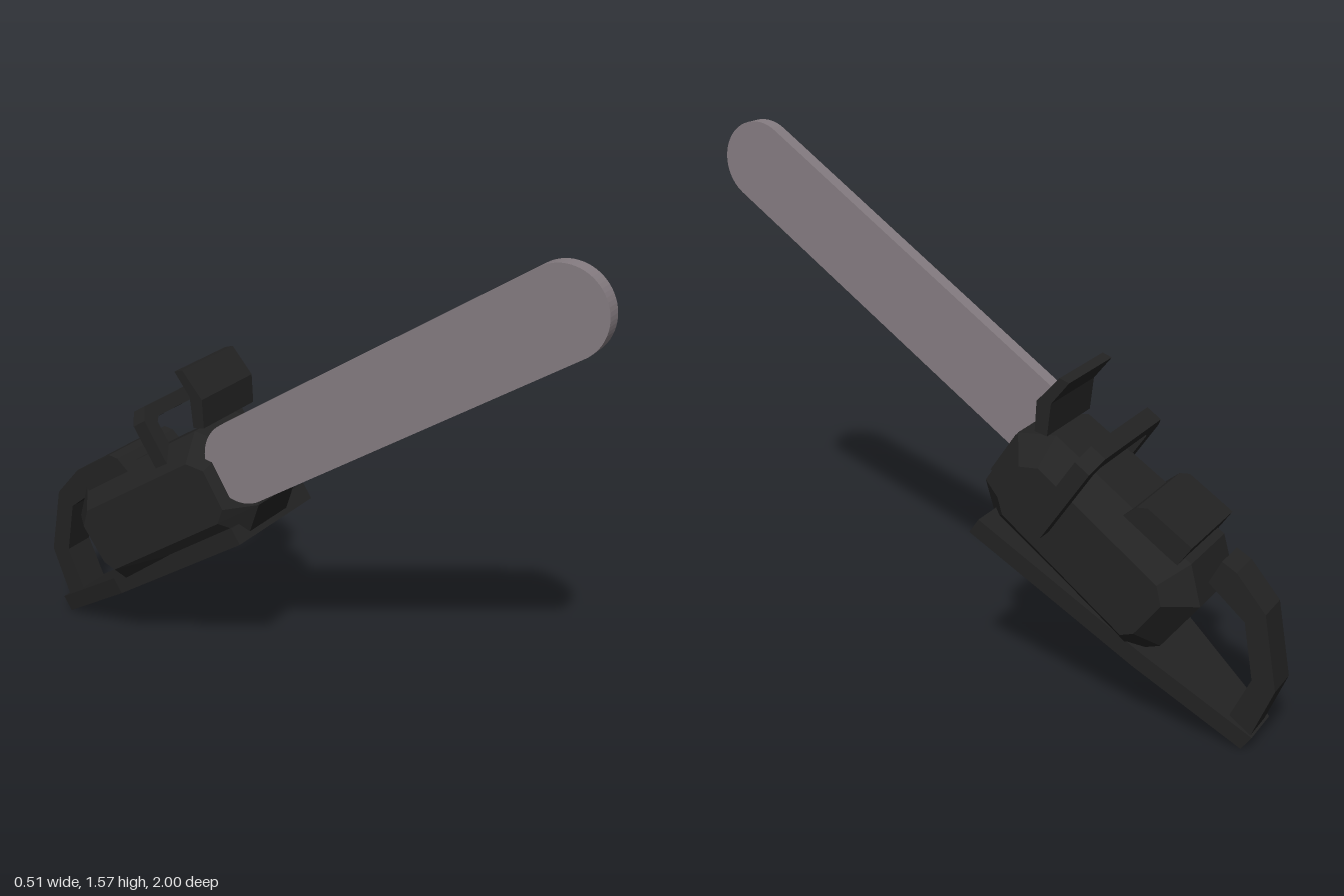
import * as THREE from 'three';

const PITCH = 0.586, YAW = 0.111;

function polygon(points) {
  return new THREE.Shape(points.map(([a, b]) => new THREE.Vector2(a, b)));
}

// Side profile given as (forward, up), extruded across x from x0 to x1
function sideExtrude(shape, x0, x1, bevel = 0) {
  const geo = new THREE.ExtrudeGeometry(shape, {
    depth: x1 - x0 - 2 * bevel, bevelEnabled: bevel > 0, bevelSize: bevel,
    bevelThickness: bevel, bevelOffset: -bevel, bevelSegments: 1, curveSegments: 16,
  });
  return geo.rotateY(-Math.PI / 2).translate(x1 - bevel, 0, 0);
}

export function createModel() {
  const steel = new THREE.MeshStandardMaterial({ color: 0x857c81 });
  steel.name = 'steel grey';
  const black = new THREE.MeshStandardMaterial({ color: 0x232323 });
  black.name = 'matte black';

  const model = new THREE.Group();
  model.name = 'chainsaw';
  const saw = new THREE.Group();
  saw.name = 'tiltedSaw';
  saw.rotation.set(-PITCH, YAW, 0, 'YXZ');
  saw.position.x = -0.098;
  model.add(saw);
  const engine = new THREE.Group();
  engine.name = 'engineUnit';
  engine.position.set(0, -0.008, 0.012);
  saw.add(engine);

  const add = (parent, name, geo, mat) => {
    const mesh = new THREE.Mesh(geo, mat);
    mesh.name = name;
    parent.add(mesh);
  };

  // Guide bar: long blade with two rounded ends
  const bar = new THREE.Shape();
  bar.absarc(1.521, 0.717, 0.126, -Math.PI / 2, Math.PI / 2, false);
  bar.absarc(0.342, 0.717, 0.126, Math.PI / 2, Math.PI * 1.5, false);
  add(saw, 'guideBar', sideExtrude(bar, -0.023, 0.023), steel);

  // Motor housing: chamfered block, slightly wider toward the rear
  const housing = sideExtrude(polygon([
    [0.19, 0.515], [0.28, 0.585], [0.285, 0.785], [0.19, 0.868],
    [-0.325, 0.872], [-0.42, 0.79], [-0.41, 0.6], [-0.35, 0.515],
  ]), -0.059, 0.299, 0.075);
  const pos = housing.attributes.position;
  for (let i = 0; i < pos.count; i++) {
    pos.setX(i, 0.12 + (pos.getX(i) - 0.12) * (1 - 0.29 * pos.getZ(i)));
  }
  housing.computeVertexNormals();
  add(engine, 'motorHousing', housing, black);

  // Front plate and top cover
  const front = new THREE.BoxGeometry(0.17, 0.15, 0.01).translate(0.12, 0.69, 0.284);
  add(engine, 'frontPlate', front, black);
  add(engine, 'topCover', sideExtrude(polygon([
    [-0.1, 0.85], [-0.115, 0.9], [-0.14, 0.922], [-0.3, 0.925], [-0.3, 0.85],
  ]), -0.025, 0.255), black);

  // Base plate: flares at the front right and narrows to the rear handle
  const base = new THREE.ExtrudeGeometry(polygon([
    [-0.045, 0.2], [0.344, 0.2], [0.27, -0.39], [0.2, -0.765], [0.067, -0.765], [-0.026, -0.39],
  ]), { depth: 0.055, bevelEnabled: false });
  add(engine, 'basePlate', base.rotateX(Math.PI / 2).translate(0, 0.56, 0), black);

  // Rear handle loop rising from the base plate to the housing
  add(engine, 'rearHandle', sideExtrude(polygon([
    [-0.38, 0.92], [-0.43, 0.925], [-0.562, 0.889], [-0.722, 0.725], [-0.76, 0.55],
    [-0.68, 0.55], [-0.655, 0.7], [-0.535, 0.825], [-0.39, 0.84],
  ]), 0.09, 0.195), black);

  // Wrap handle arching over the housing and down its right-hand end
  const wrap = new THREE.ExtrudeGeometry(polygon([
    [-0.03, 0.78], [-0.03, 0.965], [0.0, 1.005], [0.345, 1.005], [0.395, 0.965], [0.395, 0.7],
    [0.345, 0.7], [0.345, 0.945], [0.325, 0.96], [0.035, 0.96], [0.02, 0.945], [0.02, 0.78],
  ]), { depth: 0.052, bevelEnabled: false });
  add(engine, 'wrapHandle', wrap.translate(0, 0, 0.02), black);

  // Bent hand guard in front of the wrap handle
  add(engine, 'handGuard', sideExtrude(polygon([
    [0.237, 0.863], [0.283, 0.941], [0.268, 1.046], [0.238, 1.054], [0.245, 0.965], [0.2, 0.878],
  ]), 0.012, 0.268), black);

  return model;
}
